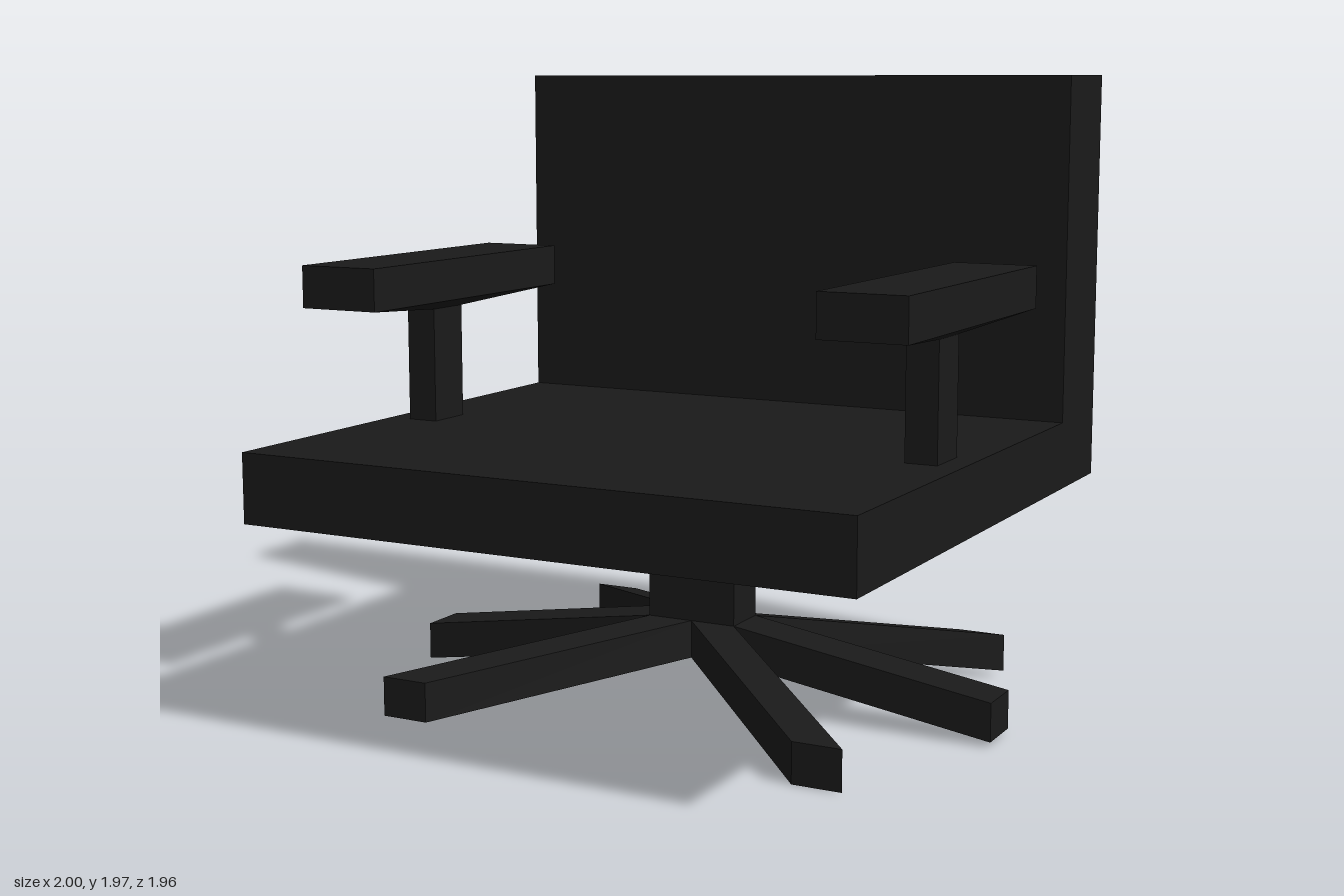
import * as THREE from 'three';

const dark = new THREE.MeshStandardMaterial({ color: 0x1a1a1a, flatShading: true });

function add(parent, name, geometry) {
  const mesh = new THREE.Mesh(geometry, dark);
  mesh.name = name;
  parent.add(mesh);
  return mesh;
}

// Box given by its [min, max] range on each axis
function block([x0, x1], [y0, y1], [z0, z1]) {
  return new THREE.BoxGeometry(x1 - x0, y1 - y0, z1 - z0)
    .translate((x0 + x1) / 2, (y0 + y1) / 2, (z0 + z1) / 2);
}

// Box stretched along one axis between two end sections, each { c: centre, s: size }
function taper(axis, a, b) {
  const [low, high] = a.c[axis] < b.c[axis] ? [a, b] : [b, a];
  const geometry = new THREE.BoxGeometry(1, 1, 1).toNonIndexed();
  const pos = geometry.attributes.position;
  for (let i = 0; i < pos.count; i++) {
    const unit = [pos.getX(i), pos.getY(i), pos.getZ(i)];
    const end = unit[axis] < 0 ? low : high;
    pos.setXYZ(i, ...unit.map((u, k) => end.c[k] + u * end.s[k]));
  }
  geometry.computeVertexNormals();
  return geometry;
}

export function createModel() {
  const chair = new THREE.Group();
  chair.name = 'swivelArmchair';

  // Seat and backrest: one L-shaped profile (depth, height) extruded across the width
  const profile = new THREE.Shape([
    [-0.98, 0.66], [0.98, 0.66], [0.98, 1.97], [0.66, 1.97], [0.66, 0.875], [-0.98, 0.875],
  ].map(([d, y]) => new THREE.Vector2(d, y)));
  add(chair, 'seatAndBackrest',
    new THREE.ExtrudeGeometry(profile, { depth: 1.96, bevelEnabled: false })
      .translate(0, 0, -0.98).rotateY(Math.PI / 2));

  // Armrests: post, flared underside and flat pad
  for (const side of [-1, 1]) {
    const arm = new THREE.Group();
    arm.name = side > 0 ? 'leftArmrest' : 'rightArmrest';
    const xRange = (a, b) => (side > 0 ? [a, b] : [-b, -a]);
    add(arm, 'armPost', block(xRange(0.805, 0.905), [0.875, 1.235], [0.085, 0.24]));
    add(arm, 'armUnderside', taper(1,
      { c: [side * 0.855, 1.235, 0.1625], s: [0.1, 0, 0.155] },
      { c: [side * 0.8525, 1.27, 0.1575], s: [0.265, 0, 1.025] }));
    add(arm, 'armPad', block(xRange(0.72, 0.985), [1.27, 1.4], [-0.355, 0.67]));
    chair.add(arm);
  }

  // Central column, ending in the hub
  const zMid = -0.0625, zWide = 0.155;
  add(chair, 'column', block([-0.15, 0.15], [0.145, 0.66], [-0.14, 0.015]));

  // Six sloping legs: one to each side, two forward, two backward
  for (const side of [-1, 1]) {
    add(chair, 'sideLeg', taper(0,
      { c: [side * 0.15, 0.205, zMid], s: [0, 0.12, zWide] },
      { c: [side, 0.075, zMid], s: [0, 0.12, zWide] }));
    add(chair, 'frontLeg', taper(2,
      { c: [side * 0.075, 0.205, 0.015], s: [0.15, 0.12, 0] },
      { c: [side * 0.6975, 0.0625, 0.59], s: [0.155, 0.125, 0] }));
    add(chair, 'backLeg', taper(2,
      { c: [side * 0.075, 0.205, -0.14], s: [0.15, 0.12, 0] },
      { c: [side * 0.6975, 0.077, -0.735], s: [0.155, 0.122, 0] }));
  }
  return chair;
}
